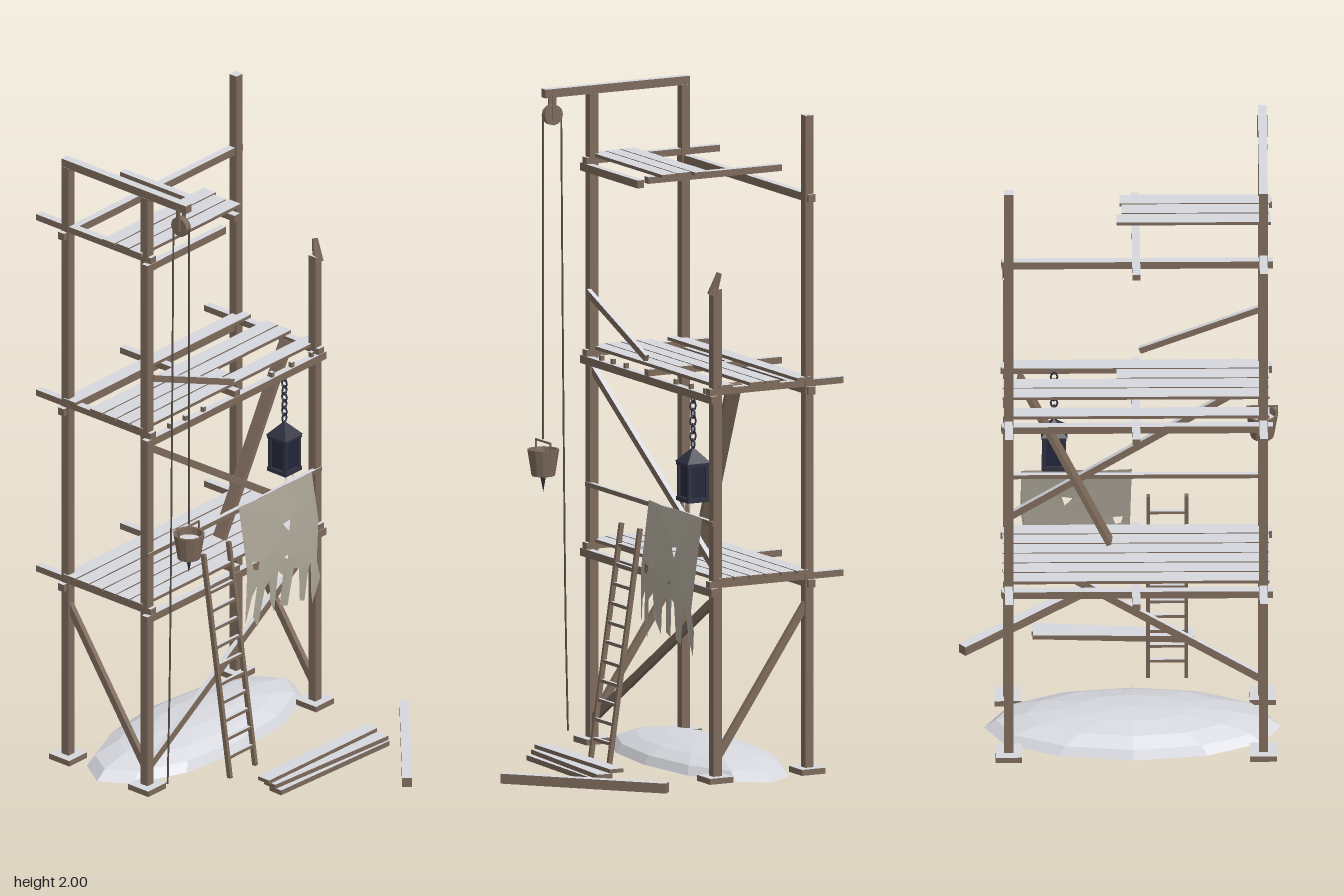
import * as THREE from 'three';

const mat = (color, opts = {}) => {
  const m = new THREE.MeshStandardMaterial({ color, ...opts });
  return m;
};

export function createModel() {
  const root = new THREE.Group();
  root.name = 'scaffold';
  const wood = mat(0x7d6a5b), snow = mat(0xd6d8de), iron = mat(0x2e3040);
  const rope = mat(0x5a5048), frost = mat(0xd6d8de, { flatShading: true });
  const linen = mat(0xaaa496, { side: THREE.DoubleSide });
  const snowy = [wood, wood, snow, wood, wood, wood]; // snow lies on upper faces

  const add = (name, geo, material, parent = root, x = 0, y = 0, z = 0) => {
    const m = new THREE.Mesh(geo, material);
    m.name = name;
    m.position.set(x, y, z);
    parent.add(m);
    return m;
  };
  // Square timber between two points; w is its width, h its height
  const bar = (name, a, b, w, h, material = snowy, parent = root) => {
    const p = new THREE.Vector3(...a), q = new THREE.Vector3(...b);
    const m = add(name, new THREE.BoxGeometry(w, h, p.distanceTo(q)), material, parent);
    m.position.copy(p).lerp(q, 0.5);
    m.lookAt(q);
    return m;
  };
  const group = (name) => {
    const g = new THREE.Group();
    g.name = name;
    root.add(g);
    return g;
  };

  const XL = -0.427, XR = 0.333, ZF = -0.085, ZB = -0.398, T = 0.028;

  // Posts on foot pads; the front left one has snapped
  const posts = group('posts');
  for (const [x, z, top] of [[XL, ZF, 1.975], [XL, ZB, 1.975], [XR, ZB, 2], [XR, ZF, 1.5]]) {
    add('post', new THREE.BoxGeometry(T, top - 0.02, T), snowy, posts, x, (top + 0.02) / 2, z);
    add('footPad', new THREE.BoxGeometry(0.08, 0.018, 0.08), snowy, posts, x, 0.016, z);
  }
  const tip = add('brokenPostTip', new THREE.CylinderGeometry(0.009, 0.017, 0.07, 4), wood, posts, XR + 0.005, 1.515, ZF + 0.002);
  tip.rotation.set(-0.2, 0.6, -0.15);

  // Working levels: long beams, cross beams, deck planks
  const rows = [-0.112, -0.165, -0.218, -0.271, -0.324, -0.377];
  const full = [-0.445, 0.35];
  const levels = [
    { y: 0.583, front: 0.355, cross: [XL, -0.047, XR], planks: rows.map((z) => [z, ...full]) },
    { y: 1.167, front: 0.355, cross: [XL, -0.047, XR],
      planks: [[rows[0], ...full], [rows[1], -0.445, 0.01], [rows[2], ...full], [rows[3], ...full], [rows[5], ...full]] },
    { y: 1.75, front: -0.1, cross: [XL, -0.047],
      planks: [[rows[0], -0.45, 0], [rows[1], -0.445, -0.005], [rows[2], -0.45, 0.01]] },
  ];
  for (const { y, front, cross, planks } of levels) {
    const g = group('level');
    bar('frontBeam', [-0.455, y, -0.07], [front, y, -0.07], 0.022, 0.024, snowy, g);
    bar('backBeam', [-0.455, y, -0.402], [0.355, y, -0.402], 0.024, 0.024, snowy, g);
    for (const x of cross) bar('crossBeam', [x, y + 0.022, -0.06], [x, y + 0.022, -0.515], 0.024, 0.02, snowy, g);
    for (const [z, x0, x1] of planks) bar('deckPlank', [x0, y + 0.037, z], [x1, y + 0.037, z], 0.048, 0.01, snowy, g);
  }
  for (const x of [-0.34, -0.27, -0.19, -0.05, 0.12, 0.21, 0.3])
    add('peg', new THREE.BoxGeometry(0.012, 0.018, 0.012), snowy, root, x, 1.186, -0.07);

  // Rail and diagonal braces
  const braces = group('braces');
  bar('clothRail', [-0.44, 0.79, -0.075], [0.345, 0.79, -0.075], 0.014, 0.014, snowy, braces);
  bar('lowerBrace', [-0.42, 0.08, ZF], [0.335, 0.56, ZF], 0.016, 0.024, snowy, braces);
  bar('upperBrace', [-0.42, 1.14, ZF], [0.335, 0.65, ZF], 0.016, 0.022, snowy, braces);
  bar('brokenBrace', [-0.42, 1.375, -0.068], [-0.06, 1.23, -0.068], 0.014, 0.02, snowy, braces);
  for (const x of [XL, XR]) bar('sideBrace', [x, 0.065, -0.08], [x, 0.54, -0.405], 0.016, 0.022, wood, braces);
  bar('leaningPlank', [0.03, 0.635, -0.197], [0.3, 1.2, -0.168], 0.045, 0.015, wood, braces);

  // Ladder
  const ladder = group('ladder');
  const ladderZ = (y) => 0.045 - 0.148 * y;
  for (const x of [-0.2, -0.086])
    bar('ladderRail', [x, 0.002, ladderZ(0)], [x, 0.71, ladderZ(0.71)], 0.011, 0.014, wood, ladder);
  for (let i = 0; i < 11; i++) {
    const y = 0.065 + i * 0.058;
    bar('rung', [-0.2, y, ladderZ(y)], [-0.086, y, ladderZ(y)], 0.01, 0.01, snowy, ladder);
  }

  // Torn cloth, bellied out below the rail
  const pts = [[-0.037, 0.805], [0.05, 0.8], [0.15, 0.803], [0.293, 0.8], [0.295, 0.65], [0.28, 0.52], [0.297, 0.46],
    [0.272, 0.38], [0.258, 0.43], [0.25, 0.53], [0.235, 0.5], [0.222, 0.41], [0.197, 0.42], [0.19, 0.53], [0.17, 0.54],
    [0.15, 0.42], [0.118, 0.43], [0.127, 0.53], [0.105, 0.55], [0.09, 0.42], [0.062, 0.47], [0.058, 0.54],
    [0.035, 0.52], [0.012, 0.4], [-0.008, 0.44], [0.005, 0.54], [-0.015, 0.51], [-0.037, 0.42], [-0.032, 0.6]];
  const v2 = (list) => list.map((p) => new THREE.Vector2(...p));
  const sheet = new THREE.Shape(v2(pts));
  for (const h of [[[0.14, 0.69], [0.172, 0.695], [0.163, 0.66]], [[-0.01, 0.62], [0.02, 0.615], [0.012, 0.59], [-0.005, 0.595]],
    [[0.135, 0.585], [0.15, 0.59], [0.147, 0.575]]])
    sheet.holes.push(new THREE.Path(v2(h)));
  const clothGeo = new THREE.ShapeGeometry(sheet);
  const cp = clothGeo.attributes.position;
  for (let i = 0; i < cp.count; i++) {
    const d = 0.8 - cp.getY(i);
    cp.setZ(i, -0.062 + 0.035 * Math.sin(Math.min(d / 0.42, 1) * 2.3) + 0.006 * Math.sin(cp.getX(i) * 40) * d / 0.4);
  }
  clothGeo.computeVertexNormals();
  add('tornCloth', clothGeo, linen);

  // Hoist: arm, pulley, ropes, bucket
  const hoist = group('hoist');
  bar('hoistArm', [XL, 1.987, 0.08], [XL, 1.987, -0.412], 0.026, 0.026, snowy, hoist);
  add('pulley', new THREE.CylinderGeometry(0.031, 0.031, 0.02, 12), wood, hoist, XL, 1.92, 0.05).rotation.z = Math.PI / 2;
  for (const s of [-1, 1]) add('pulleyCheek', new THREE.BoxGeometry(0.005, 0.07, 0.012), wood, hoist, XL + s * 0.013, 1.945, 0.05);
  const cord = (name, ...p) => add(name, new THREE.TubeGeometry(
    new THREE.CatmullRomCurve3(p.map((q) => new THREE.Vector3(...q))), 24, 0.003, 5), rope, hoist);
  cord('bucketRope', [XL, 1.92, 0.082], [XL, 0.94, 0.082]);
  cord('pullRope', [XL, 1.92, 0.02], [XL, 1.0, 0.012], [XL, 0.4, 0.005], [XL, 0.05, -0.003]);
  const bucketMat = mat(0x7d6a5b, { side: THREE.DoubleSide, flatShading: true });
  add('bucket', new THREE.LatheGeometry(v2([[0, 0.83], [0.035, 0.83], [0.048, 0.91], [0.041, 0.91], [0.038, 0.885]]), 12),
    bucketMat, hoist, XL, 0, 0.081);
  add('bucketSnow', new THREE.CylinderGeometry(0.039, 0.039, 0.006, 12), snow, hoist, XL, 0.885, 0.081);
  bar('bucketHandle', [XL - 0.047, 0.933, 0.081], [XL + 0.047, 0.933, 0.081], 0.005, 0.005, wood, hoist);
  for (const s of [-1, 1]) bar('handleStrap', [XL + s * 0.045, 0.9, 0.081], [XL + s * 0.045, 0.935, 0.081], 0.004, 0.004, wood, hoist);
  add('bucketIcicle', new THREE.ConeGeometry(0.01, 0.05, 5), iron, hoist, XL, 0.806, 0.081).rotation.x = Math.PI;

  // Lantern on a chain
  const lantern = group('lantern');
  lantern.position.set(0.195, 0, ZF);
  for (let i = 0; i < 7; i++) {
    const link = add('chainLink', new THREE.TorusGeometry(0.01, 0.003, 5, 8), iron, lantern, 0, 1.147 - i * 0.023, 0);
    link.scale.y = 1.4;
    link.rotation.y = (i % 2) * Math.PI / 2;
  }
  const roof = add('lanternRoof', new THREE.ConeGeometry(0.056, 0.045, 4), mat(0x2e3040, { flatShading: true }), lantern, 0, 0.977, 0);
  roof.rotation.y = Math.PI / 4;
  add('lanternGlass', new THREE.BoxGeometry(0.056, 0.1, 0.056), mat(0x23263a), lantern, 0, 0.9, 0);
  for (const y of [0.842, 0.95]) add('lanternPlate', new THREE.BoxGeometry(0.074, 0.012, 0.074), iron, lantern, 0, y, 0);
  for (const sx of [-1, 1]) for (const sz of [-1, 1])
    add('lanternCorner', new THREE.BoxGeometry(0.01, 0.1, 0.01), iron, lantern, sx * 0.03, 0.896, sz * 0.03);
  for (const s of [-1, 1])
    add('lanternIcicle', new THREE.ConeGeometry(0.005, 0.03, 5), frost, lantern, s * 0.016, 0.822, 0.02).rotation.x = Math.PI;

  // Snow drift under the scaffold
  const drift = add('snowDrift', new THREE.SphereGeometry(1, 12, 4, 0, Math.PI * 2, 0, Math.PI / 2), frost, root, -0.038, 0.003, -0.235);
  drift.scale.set(0.443, 0.073, 0.187);
  const under = add('driftBase', new THREE.CircleGeometry(1, 12), snow, root, -0.038, 0.003, -0.235);
  under.rotation.x = Math.PI / 2;
  under.scale.set(0.443, 0.187, 1);

  // Loose timber on the ground
  bar('stackedPlank', [-0.21, 0.024, 0.233], [0.255, 0.024, 0.255], 0.048, 0.016);
  bar('stackedPlank', [-0.215, 0.04, 0.215], [0.258, 0.04, 0.25], 0.048, 0.014);
  bar('stackedPlank', [-0.225, 0.053, 0.2], [0.255, 0.053, 0.208], 0.045, 0.012);
  bar('fallenBeam', [0.08, 0.03, 0.502], [0.467, 0.03, 0.153], 0.03, 0.03);
  return root;
}
